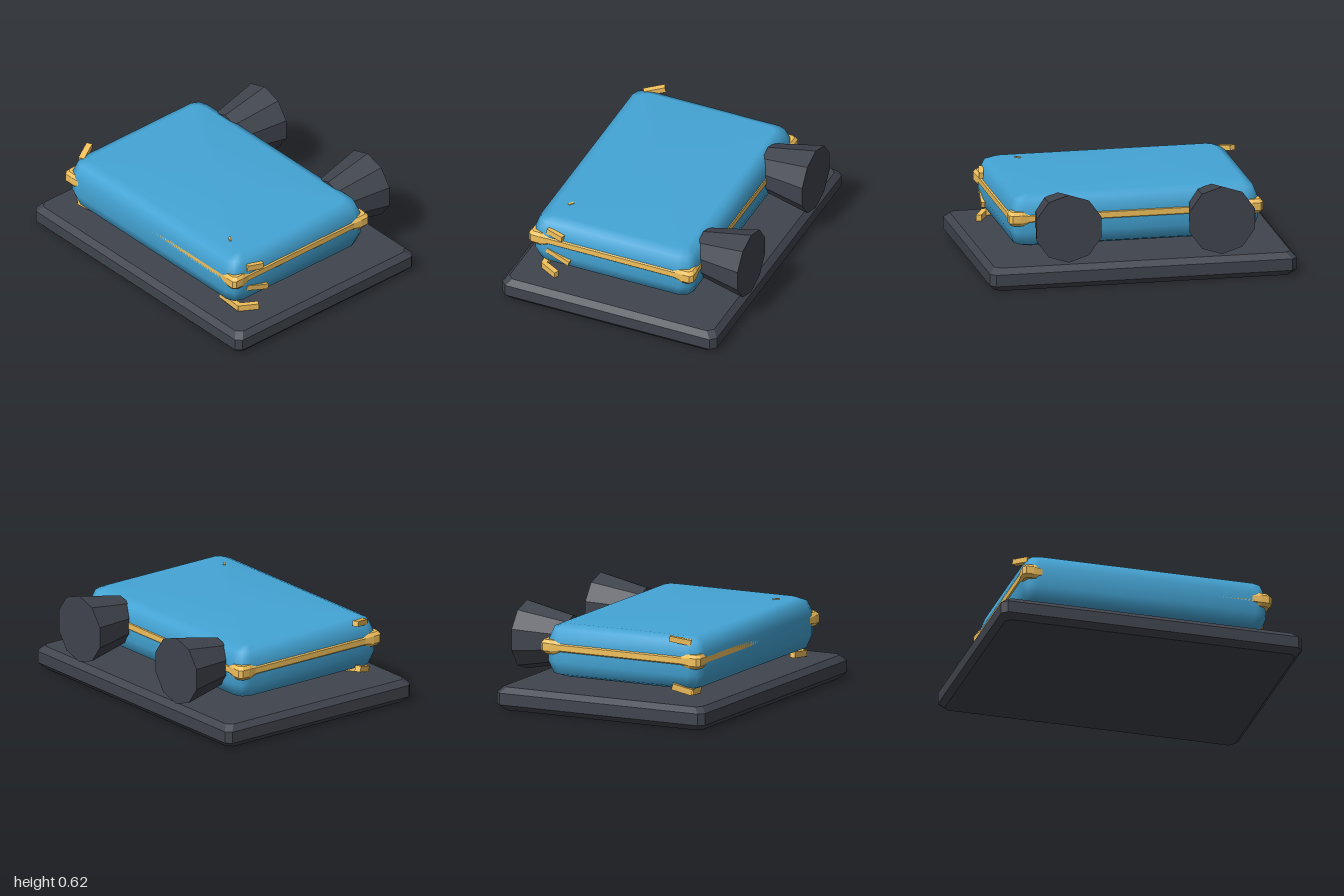
import * as THREE from 'three';

const dark = new THREE.MeshStandardMaterial({ color: 0x40444d, flatShading: true });
const blue = new THREE.MeshStandardMaterial({ color: 0x44a5d6 });
const gold = new THREE.MeshStandardMaterial({ color: 0xf2c15c, flatShading: true });

// Mirrors one quarter of an outline, given as [x, z, height], into a closed loop
function mirrorQuarter(quarter) {
  const back = [...quarter].reverse();
  return [[1, -1, quarter], [-1, -1, back], [-1, 1, quarter], [1, 1, back]]
    .flatMap(([sx, sz, pts]) => pts.map(([x, z, h = 0]) => [sx * x, sz * z, h]));
}

// Skins a stack of equal loops of [x, y, z] points, from the bottom up
function loft(rings, capped = true) {
  const n = rings[0].length;
  const pos = rings.flat(2);
  const index = [];
  for (let r = 0; r < rings.length - 1; r++) {
    for (let j = 0; j < n; j++) {
      const a = r * n + j, b = r * n + (j + 1) % n;
      index.push(a, b, b + n, a, b + n, a + n);
    }
  }
  if (capped) {
    const last = rings.length - 1, c = rings.length * n;
    pos.push(0, rings[0][0][1], 0, 0, rings[last][0][1], 0);
    for (let j = 0; j < n; j++) {
      const k = (j + 1) % n;
      index.push(c, k, j, c + 1, last * n + j, last * n + k);
    }
  }
  const geo = new THREE.BufferGeometry();
  geo.setAttribute('position', new THREE.Float32BufferAttribute(pos, 3));
  geo.setIndex(index);
  geo.computeVertexNormals();
  return geo;
}

// Horizontal level of a slab: half sizes a, b, with cut corners of size c
function slabLevel(a, b, c, y, rounded) {
  const quarter = [[a, b - c], [a - c, b]];
  if (rounded) quarter.splice(1, 0, [a - 0.3 * c, b - 0.3 * c]);
  return mirrorQuarter(quarter).map(([x, z]) => [x, y, z]);
}

// Bent bar through a few points, one box per stretch
function bentBar(name, points, width, height) {
  const group = new THREE.Group();
  group.name = name;
  const pts = points.map((p) => new THREE.Vector3(...p));
  for (let i = 0; i < pts.length - 1; i++) {
    const length = pts[i].distanceTo(pts[i + 1]);
    const bar = new THREE.Mesh(new THREE.BoxGeometry(width, height, length + 0.015), gold);
    bar.name = name + 'Part';
    bar.position.copy(pts[i]).lerp(pts[i + 1], 0.5);
    bar.lookAt(pts[i + 1]);
    group.add(bar);
  }
  return group;
}

export function createModel() {
  const model = new THREE.Group();
  const add = (name, geometry, material, x, y, z) => {
    const mesh = new THREE.Mesh(geometry, material);
    mesh.name = name;
    mesh.position.set(x, y, z);
    model.add(mesh);
    return mesh;
  };

  // Base plate with chamfered edges
  const base = [[0.035, 0], [0, 0.037], [0, 0.113], [0.035, 0.15]]
    .map(([inset, y]) => slabLevel(1 - inset, 0.75 - inset, 0.035, y, false));
  add('basePlate', loft(base), dark, 0, 0, 0.015);

  // Softly rounded body
  const body = [[0.09, 0.205], [0.03, 0.228], [0, 0.31], [0, 0.445], [0.03, 0.525], [0.09, 0.552]]
    .map(([inset, y]) => slabLevel(0.81 - inset, 0.5625 - inset, 0.085 - inset * 0.4, y, true));
  add('body', loft(body), blue, 0, 0, 0.0775);

  // Trim band around the body, thicker at its corners
  const trim = [[0.08, -1], [0.016, -1], [0, -0.55], [0, 0.55], [0.016, 1], [0.08, 1]]
    .map(([inset, level]) => {
      const a = 0.828 - inset, b = 0.575 - inset;
      const quarter = [
        [a - 0.01, b - 0.13, 0.034], [a, b - 0.07, 0.046], [a, b - 0.02, 0.046],
        [a - 0.02, b, 0.046], [a - 0.07, b, 0.046], [a - 0.13, b - 0.01, 0.034],
      ];
      return mirrorQuarter(quarter).map(([x, z, h]) => [x, level * h, z]);
    });
  add('trimBand', loft(trim, false), gold, 0, 0.405, 0.075);

  // Two flared rear nozzles with a corner pointing up
  for (const side of [-1, 1]) {
    const cone = new THREE.CylinderGeometry(0.153, 0.223, 0.335, 10);
    cone.rotateX(Math.PI / 2);
    add(side > 0 ? 'leftNozzle' : 'rightNozzle', cone, dark, side * 0.5, 0.402, -0.5975);
  }

  // Feet under the front corners
  model.add(bentBar('leftFoot', [[0.61, 0.195, 0.565], [0.77, 0.175, 0.56], [0.825, 0.17, 0.455]], 0.035, 0.04));
  model.add(bentBar('rightFoot', [[-0.56, 0.17, 0.5], [-0.77, 0.2, 0.56], [-0.82, 0.235, 0.46]], 0.04, 0.04));

  // Small clasps at the front corners
  model.add(bentBar('rightUpperClasp', [[-0.82, 0.545, 0.44], [-0.765, 0.52, 0.55]], 0.04, 0.035));
  model.add(bentBar('leftUpperClasp', [[0.8, 0.475, 0.515], [0.82, 0.46, 0.415]], 0.03, 0.04));
  model.add(bentBar('leftLowerClasp', [[0.8, 0.325, 0.52], [0.818, 0.28, 0.37]], 0.025, 0.035));
  model.add(bentBar('topPin', [[0.56, 0.55, 0.455], [0.58, 0.55, 0.47]], 0.015, 0.015));

  return model;
}
